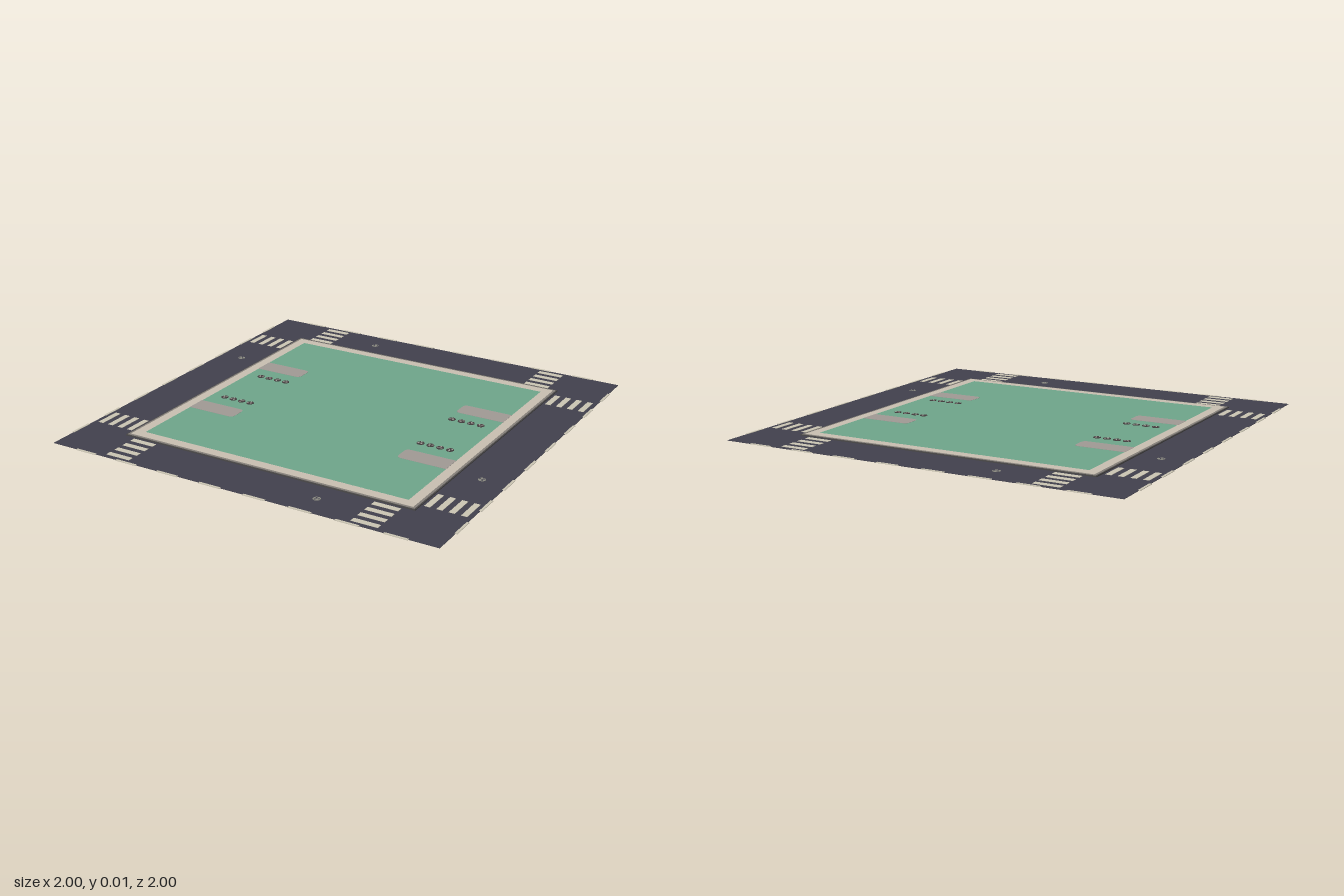
import * as THREE from 'three';

const mat = (name, color) => Object.assign(new THREE.MeshStandardMaterial({ color }), { name });

export function createModel() {
  const asphalt = mat('asphalt', 0x42414d);
  const paint = mat('road paint', 0xccc6b4);
  const paving = mat('paving', 0xc9c0b2);
  const curbTop = mat('curb stone', 0x85807a);
  const curbDark = mat('curb edge', 0x4a4848);
  const grass = mat('grass', 0x6fa68b);
  const path = mat('path', 0xa09a95);
  const iron = mat('dark iron', 0x453f40);
  const metal = mat('worn metal', 0x8a8a80);

  const model = new THREE.Group();
  model.name = 'cityBlock';

  // Box given by its extents in x and z and its bottom and top heights
  const slab = (name, material, x0, x1, z0, z1, y0, y1, parent = model) => {
    const mesh = new THREE.Mesh(new THREE.BoxGeometry(x1 - x0, y1 - y0, z1 - z0), material);
    mesh.position.set((x0 + x1) / 2, (y0 + y1) / 2, (z0 + z1) / 2);
    mesh.name = name;
    parent.add(mesh);
    return mesh;
  };

  // Square ring with a square hole, resting flat
  const ring = (name, material, outer, inner, y0, y1) => {
    const square = (path2d, r) => path2d.moveTo(-r, -r).lineTo(r, -r).lineTo(r, r).lineTo(-r, r).closePath();
    const shape = square(new THREE.Shape(), outer);
    shape.holes.push(square(new THREE.Path(), inner));
    const geometry = new THREE.ExtrudeGeometry(shape, { depth: y1 - y0, bevelEnabled: false });
    geometry.rotateX(-Math.PI / 2);
    const mesh = new THREE.Mesh(geometry, material);
    mesh.position.y = y0;
    mesh.name = name;
    model.add(mesh);
  };

  // Road bed, stepped curb, pavement and lawn
  slab('road', asphalt, -0.992, 0.992, -0.992, 0.992, 0, 0.002);
  ring('curbEdge', curbDark, 0.759, 0.752, 0.001, 0.007);
  ring('curb', curbTop, 0.753, 0.741, 0.001, 0.008);
  ring('pavement', paving, 0.742, 0.694, 0.001, 0.009);
  slab('lawn', grass, -0.695, 0.695, -0.695, 0.695, 0.001, 0.009);

  // Centre-line dashes and crosswalk bars, repeated on all four sides
  for (let side = 0; side < 4; side++) {
    const markings = new THREE.Group();
    markings.name = 'roadMarkings';
    markings.rotation.y = side * Math.PI / 2;
    for (let i = 0; i < 8; i++) {
      const x = (i - 3.5) * 0.228;
      slab('laneDash', paint, x - 0.056, x + 0.056, 0.988, 1, 0.001, 0.0035, markings);
    }
    for (const x of [-0.637, 0.637]) {
      for (let i = 0; i < 4; i++) {
        const z = 0.785 + i * 0.057;
        slab('crosswalkBar', paint, x - 0.064, x + 0.064, z - 0.014, z + 0.014, 0.001, 0.0035, markings);
      }
    }
    model.add(markings);
  }

  // Round cover with alternating lighter wedges on its top
  const cover = (name, x, z, y0, y1, radius, base, wedge, turn) => {
    const group = new THREE.Group();
    group.name = name;
    const disc = new THREE.Mesh(new THREE.CylinderGeometry(radius, radius, y1 - y0, 12), base);
    disc.position.y = (y0 + y1) / 2;
    disc.name = 'coverDisc';
    group.add(disc);
    for (let i = 0; i < 3; i++) {
      const geometry = new THREE.CircleGeometry(radius * 0.8, 3, i * Math.PI * 2 / 3, 0.8);
      const piece = new THREE.Mesh(geometry.rotateX(-Math.PI / 2), wedge);
      piece.position.y = y1 + 0.0005;
      piece.name = 'coverWedge';
      group.add(piece);
    }
    group.position.set(x, 0, z);
    group.rotation.y = turn;
    model.add(group);
  };

  // Manholes in the four lanes
  [[-0.35, -0.87], [-0.87, -0.35], [0.87, 0.35], [0.35, 0.87]].forEach(([x, z], i) =>
    cover('manhole', x, z, 0.001, 0.003, 0.018, metal, asphalt, i * 1.3));

  // Entry paths with rounded inner corners
  const pathShape = new THREE.Shape();
  const r = 0.025;
  pathShape.moveTo(0.695, -0.05).lineTo(0.695, 0.05).lineTo(0.445 + r, 0.05);
  pathShape.quadraticCurveTo(0.445, 0.05, 0.445, 0.05 - r).lineTo(0.445, -0.05 + r);
  pathShape.quadraticCurveTo(0.445, -0.05, 0.445 + r, -0.05);
  const pathGeometry = new THREE.ExtrudeGeometry(pathShape, { depth: 0.001, bevelEnabled: false, curveSegments: 5 });
  pathGeometry.rotateX(-Math.PI / 2);

  for (const sx of [-1, 1]) {
    for (const sz of [-1, 1]) {
      const mesh = new THREE.Mesh(pathGeometry, path);
      mesh.position.set(0, 0.009, sz * 0.298);
      mesh.rotation.y = sx < 0 ? Math.PI : 0;
      mesh.name = 'entryPath';
      model.add(mesh);
      // Row of four small ground covers beside each path
      for (let i = 0; i < 4; i++) {
        cover('groundCover', sx * (0.47 + i * 0.05), sz * 0.16, 0.008, 0.0115, 0.018, iron, path, i * 1.1 + sz);
      }
    }
  }
  return model;
}
